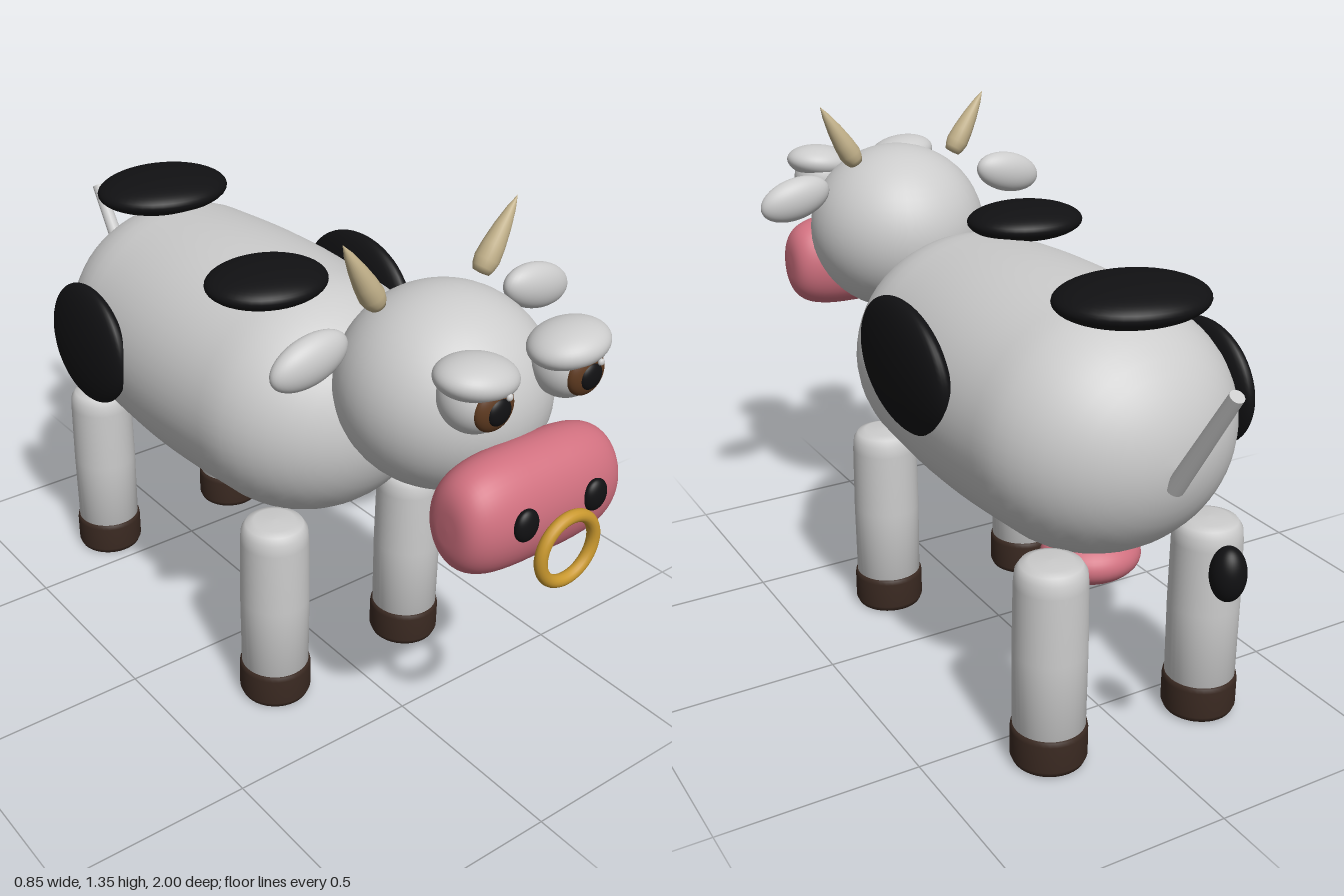
import * as THREE from 'three';

const mat = (color) => new THREE.MeshStandardMaterial({ color });
const grey = mat(0xcccccc), black = mat(0x111113), pink = mat(0xd0707f), hoofBrown = mat(0x3b2a22);
const hornTan = mat(0xc2b18a), gold = mat(0xc9982e), irisBrown = mat(0x5e3a20);

export function createModel() {
  const cow = new THREE.Group();
  cow.name = 'cow';

  const add = (name, geometry, material, pos, rot = [0, 0, 0], scale = [1, 1, 1]) => {
    const mesh = new THREE.Mesh(geometry, material);
    mesh.name = name;
    mesh.position.set(...pos);
    mesh.rotation.set(...rot);
    mesh.scale.set(...scale);
    cow.add(mesh);
    return mesh;
  };
  const ball = new THREE.SphereGeometry(1, 40, 28);
  const blob = (name, material, pos, radii, rot) => add(name, ball, material, pos, rot, radii);
  const lathe = (pts, seg = 40) =>
    new THREE.LatheGeometry(pts.map(([r, y]) => new THREE.Vector2(Math.max(r, 0), y)), seg);
  // Superellipse profile: a barrel with rounded shoulders
  const barrel = (radius, half, power) => {
    const pts = [];
    for (let i = 0; i <= 32; i++) {
      const a = -Math.PI / 2 + (Math.PI * i) / 32;
      const c = Math.max(Math.cos(a), 0), s = Math.sin(a);
      pts.push([radius * Math.pow(c, 2 / power), half * Math.sign(s) * Math.pow(Math.abs(s), 2 / power)]);
    }
    return lathe(pts, 48);
  };

  // Body: capsule along z with a slight bulge in the middle
  const bodyPts = [];
  for (let i = 0; i <= 12; i++) {
    const a = -Math.PI / 2 + (Math.PI / 2) * (i / 12);
    bodyPts.push([0.308 * Math.cos(a), -0.27 + 0.315 * Math.sin(a)]);
  }
  for (let i = 1; i < 10; i++) {
    const t = i / 10;
    bodyPts.push([0.308 + 0.012 * Math.sin(Math.PI * t), -0.27 + 0.54 * t]);
  }
  for (let i = 0; i <= 12; i++) {
    const a = (Math.PI / 2) * (i / 12);
    bodyPts.push([0.308 * Math.cos(a), 0.27 + 0.315 * Math.sin(a)]);
  }
  add('body', lathe(bodyPts, 56), grey, [0, 0.76, -0.185], [Math.PI / 2, 0, 0], [1.08, 1, 1]);

  // Coat patches
  blob('rumpPatch', black, [0, 1.09, -0.58], [0.185, 0.05, 0.155]);
  blob('shoulderPatch', black, [-0.135, 1.09, 0.1], [0.155, 0.045, 0.133]);
  blob('leftFlankPatch', black, [0.335, 0.85, -0.135], [0.052, 0.167, 0.217], [0, 0, -0.06]);
  blob('rightFlankPatch', black, [-0.342, 0.78, -0.42], [0.047, 0.16, 0.18], [0, 0, -0.04]);

  // Head, muzzle, nose ring
  blob('head', grey, [0, 0.98, 0.58], [0.245, 0.232, 0.245]);
  add('muzzle', barrel(0.137, 0.225, 3.6), pink, [0, 0.827, 0.855], [0, 0, Math.PI / 2], [1, 1, 0.76]);
  add('noseRing', new THREE.TorusGeometry(0.077, 0.0145, 16, 48), gold, [0, 0.764, 0.985]);

  // Legs share a rounded column and a rounded hoof
  const leg = lathe([[0, 0.04], [0.086, 0.04], [0.088, 0.3], [0.086, 0.47], [0.083, 0.5],
    [0.072, 0.517], [0.052, 0.524], [0, 0.526]], 36);
  const hoof = lathe([[0, 0.003], [0.07, 0.003], [0.086, 0.008], [0.092, 0.022], [0.092, 0.09],
    [0.09, 0.101], [0.084, 0.105], [0, 0.105]], 36);
  const horn = lathe([[0, 0], [0.02, 0.002], [0.026, 0.015], [0.03, 0.035], [0.027, 0.07],
    [0.02, 0.115], [0.01, 0.16], [0, 0.19]], 24);

  for (const s of [1, -1]) {
    const side = s > 0 ? 'left' : 'right';
    for (const [end, z] of [['Front', 0.243], ['Back', -0.615]]) {
      add(`${side}${end}Leg`, leg, grey, [s * 0.218, 0, z]);
      add(`${side}${end}Hoof`, hoof, hoofBrown, [s * 0.218, 0, z]);
    }
    // Face
    blob(`${side}Nostril`, black, [s * 0.1, 0.845, 0.957], [0.032, 0.038, 0.018]);
    blob(`${side}Eyeball`, grey, [s * 0.13, 1.09, 0.812], [0.077, 0.077, 0.077]);
    blob(`${side}Iris`, irisBrown, [s * 0.13, 1.088, 0.868], [0.052, 0.052, 0.024]);
    blob(`${side}Pupil`, black, [s * 0.13, 1.086, 0.884], [0.031, 0.031, 0.014]);
    blob(`${side}EyeGlint`, grey, [s * 0.13 + 0.02, 1.115, 0.891], [0.008, 0.008, 0.006]);
    blob(`${side}Eyelid`, grey, [s * 0.131, 1.136, 0.815], [0.096, 0.046, 0.081], [0, 0, s * 0.13]);
    // Ears and horns
    blob(`${side}Ear`, grey, [s * 0.328, 1.11, 0.523], [0.1, 0.056, 0.04], [0, 0, -s * 0.25]);
    add(`${side}Horn`, horn, hornTan, [s * 0.147, 1.186, 0.523], [0, 0, -s * 0.545]);
  }

  // Udder, tail and detached tuft
  blob('udder', pink, [0, 0.41, -0.445], [0.125, 0.065, 0.115]);
  add('tail', new THREE.CylinderGeometry(0.017, 0.022, 0.335, 20), grey, [0, 0.85, -0.857], [-0.59, 0, 0]);
  blob('tailTuft', black, [0, 0.595, -0.958], [0.04, 0.063, 0.04]);

  return cow;
}
